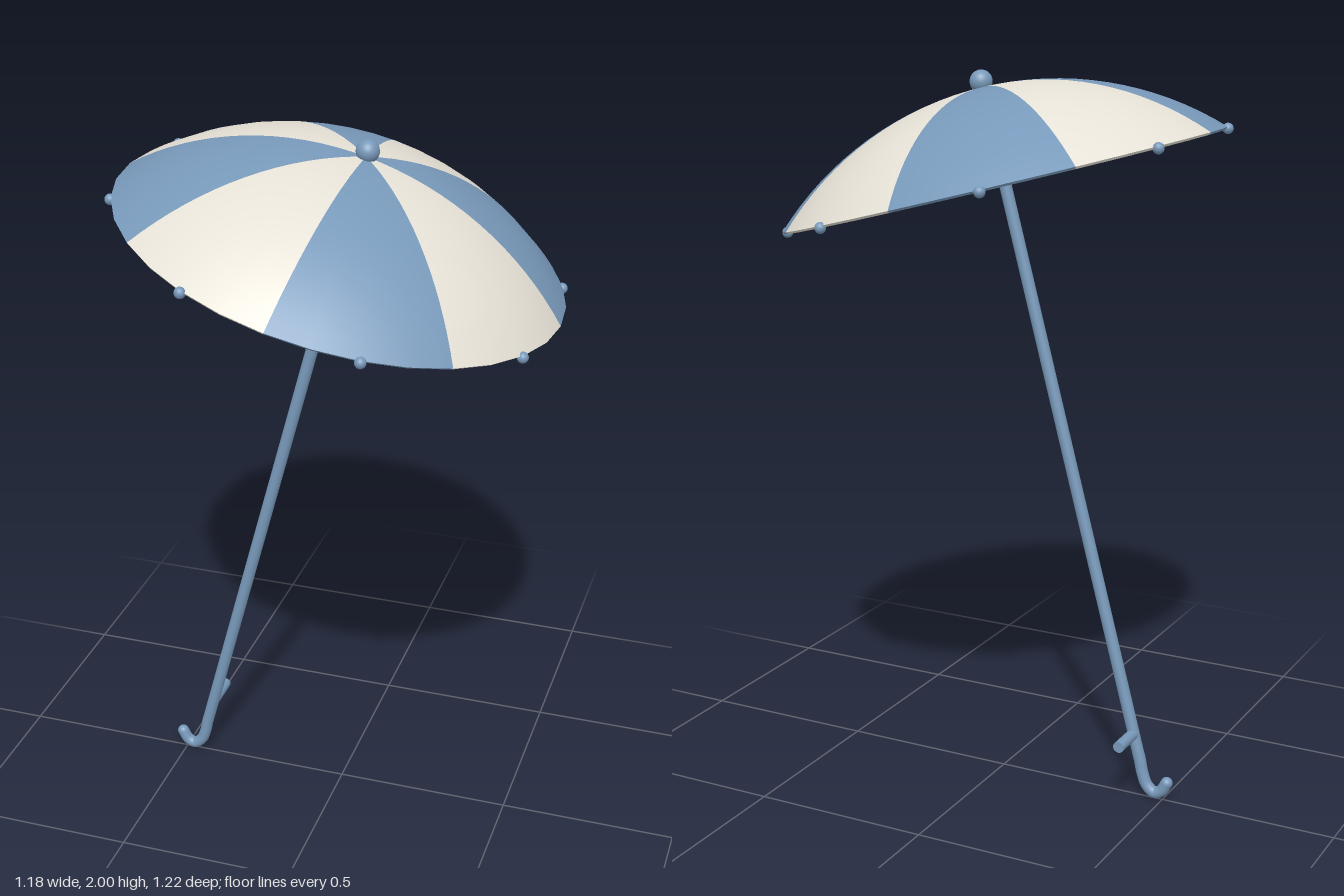
import * as THREE from 'three';
import { mergeGeometries } from 'three/addons/utils/BufferGeometryUtils.js';

const TILT = THREE.MathUtils.degToRad(15);
const RIM_Y = 1.712;            // height of the canopy rim centre
const RIM_R = 0.61, DOME_H = 0.25, THICK = 0.008;
const PANELS = 8, SHAFT_R = 0.017, SHAFT_DROP = 1.66;

const blue = new THREE.MeshStandardMaterial({ color: 0x7899ba });
const cream = new THREE.MeshStandardMaterial({ color: 0xe6e1d6 });

function add(parent, name, geometry, material, x = 0, y = 0, z = 0) {
  const mesh = new THREE.Mesh(geometry, material);
  mesh.name = name;
  mesh.position.set(x, y, z);
  parent.add(mesh);
  return mesh;
}

// One wedge of the canopy: outer skin, inner skin and hem
function panelGeometry(start, sweep) {
  const R = (RIM_R ** 2 + DOME_H ** 2) / (2 * DOME_H);
  const centreY = DOME_H - R;
  const edge = Math.asin(RIM_R / R);
  const point = (r, a) => new THREE.Vector2(r * Math.sin(a), centreY + r * Math.cos(a));
  const arc = (r, from, to) => Array.from({ length: 17 }, (_, i) =>
    point(r, from + (to - from) * i / 16));
  const profiles = [
    arc(R, edge, 0),
    arc(R - THICK, 0, edge),
    [point(R - THICK, edge), point(R, edge)],
  ];
  return mergeGeometries(profiles.map(p => new THREE.LatheGeometry(p, 4, start, sweep)));
}

export function createModel() {
  const model = new THREE.Group();
  model.name = 'parasol';

  // Everything on the slanted axis, measured from the rim centre
  const tilted = new THREE.Group();
  tilted.name = 'tiltedParasol';
  tilted.position.y = RIM_Y;
  tilted.rotation.z = -TILT;
  model.add(tilted);

  // Striped canopy with a small bead at the middle of each hem
  const sweep = Math.PI * 2 / PANELS;
  for (let i = 0; i < PANELS; i++) {
    const start = Math.PI / 2 + i * sweep;
    add(tilted, 'canopyPanel', panelGeometry(start, sweep), i % 2 ? cream : blue);
    const mid = start + sweep / 2;
    add(tilted, 'rimBead', new THREE.SphereGeometry(0.015, 16, 12), blue,
      RIM_R * Math.sin(mid), -0.005, RIM_R * Math.cos(mid));
  }

  // Finial and shaft
  add(tilted, 'finial', new THREE.SphereGeometry(0.031, 24, 16), blue, 0, 0.266, 0);
  const top = 0.25;
  add(tilted, 'shaft', new THREE.CylinderGeometry(SHAFT_R, SHAFT_R, SHAFT_DROP + top, 20),
    blue, 0, (top - SHAFT_DROP) / 2, 0);

  // Hooked handle, continuing the shaft
  const hook = new THREE.CatmullRomCurve3([
    [-0.425, 0.128], [-0.430, 0.108], [-0.438, 0.072], [-0.452, 0.038],
    [-0.475, 0.020], [-0.496, 0.029], [-0.512, 0.056],
  ].map(([x, y]) => new THREE.Vector3(x, y, 0)));
  add(model, 'hookHandle', new THREE.TubeGeometry(hook, 32, SHAFT_R, 16), blue);
  add(model, 'hookTip', new THREE.SphereGeometry(SHAFT_R, 16, 12), blue, -0.512, 0.056, 0);

  // Short peg sticking out of the back of the shaft
  const peg = add(model, 'peg', new THREE.CylinderGeometry(0.016, 0.016, 0.105, 16),
    blue, -0.409, 0.185, -0.0525);
  peg.rotation.x = Math.PI / 2;

  return model;
}
